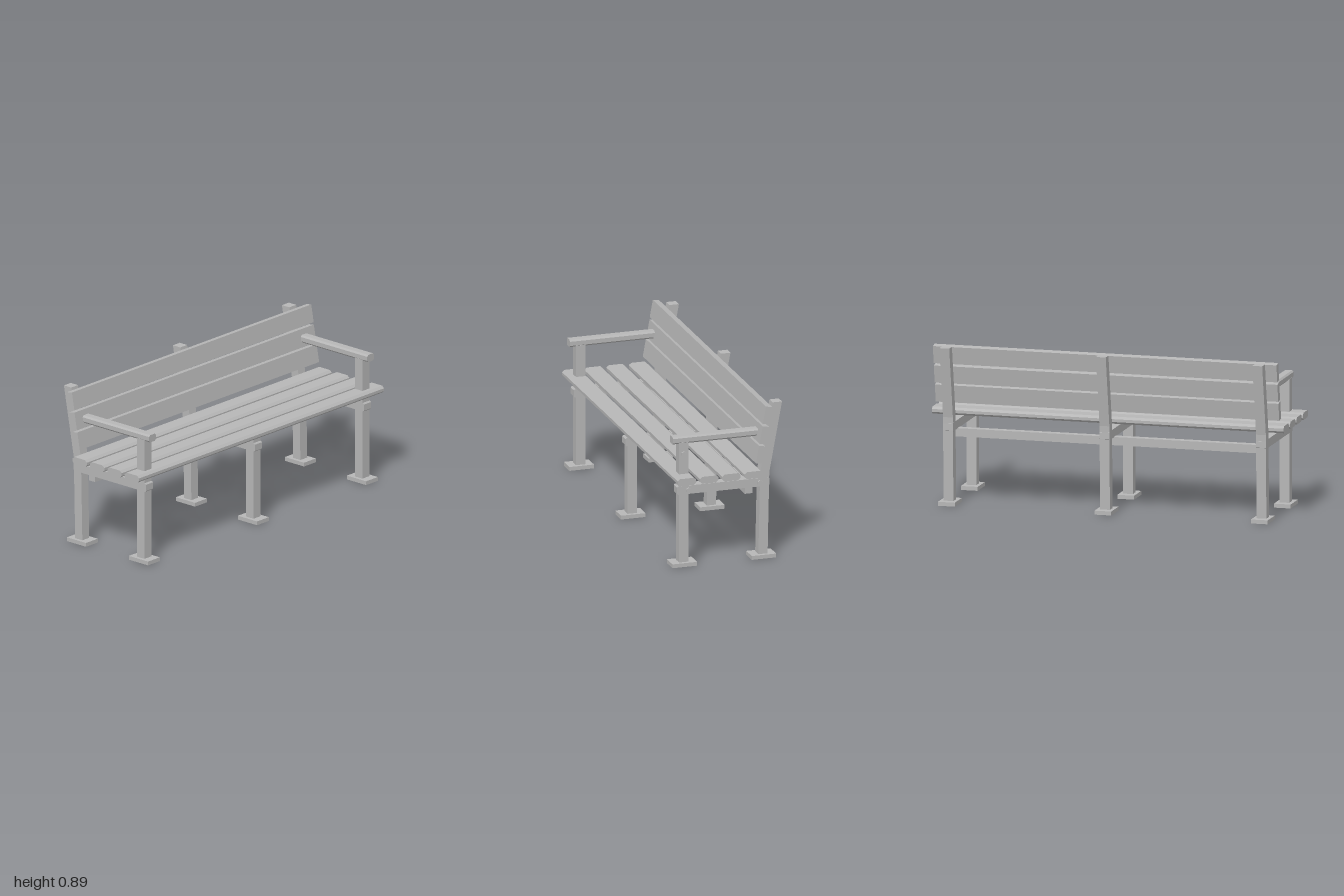
import * as THREE from 'three';

const grey = new THREE.MeshStandardMaterial({ color: 0xb6b6b6 });
grey.name = 'grey';

// Extrude a [z, y] side profile along x, centred on the given x
function sideProfile(name, points, width, x = 0) {
  const shape = new THREE.Shape(points.map(([z, y]) => new THREE.Vector2(z, y)));
  const geo = new THREE.ExtrudeGeometry(shape, { depth: width, bevelEnabled: false });
  geo.translate(0, 0, -width / 2).rotateY(-Math.PI / 2);
  const mesh = new THREE.Mesh(geo, grey);
  mesh.name = name;
  mesh.position.x = x;
  return mesh;
}

// Rectangle a0..a1 by b0..b1 with cut corners
function chamfered(a0, a1, b0, b1, ca, cb) {
  return [[a0 + ca, b0], [a1 - ca, b0], [a1, b0 + cb], [a1, b1 - cb],
    [a1 - ca, b1], [a0 + ca, b1], [a0, b1 - cb], [a0, b0 + cb]];
}

function box(name, x0, x1, y0, y1, z0, z1) {
  const mesh = new THREE.Mesh(new THREE.BoxGeometry(x1 - x0, y1 - y0, z1 - z0), grey);
  mesh.name = name;
  mesh.position.set((x0 + x1) / 2, (y0 + y1) / 2, (z0 + z1) / 2);
  return mesh;
}

// Hexagonal bolt head on the +x face
function bolt(x, y, z) {
  const geo = new THREE.CylinderGeometry(0.015, 0.015, 0.014, 6).toNonIndexed();
  geo.computeVertexNormals();
  geo.rotateZ(Math.PI / 2);
  geo.rotateX(Math.PI / 2);
  const mesh = new THREE.Mesh(geo, grey);
  mesh.name = 'bolt';
  mesh.position.set(x, y, z);
  return mesh;
}

export function createModel() {
  const bench = new THREE.Group();
  bench.name = 'bench';
  const W = 0.056;

  // Three support frames
  for (const x of [-0.89, 0, 0.89]) {
    const frame = new THREE.Group();
    frame.name = 'frame';
    frame.position.x = x;
    const postTop = x === 0 ? 0.492 : 0.71;
    frame.add(
      box('frontLeg', -W / 2, W / 2, 0.02, postTop, 0.221, 0.275),
      sideProfile('backLeg', [[-0.235, 0.02], [-0.182, 0.02], [-0.192, 0.49],
        [-0.264, 0.888], [-0.318, 0.888], [-0.245, 0.49]], W),
      sideProfile('seatBearer', chamfered(-0.245, 0.287, 0.412, 0.46, 0.006, 0.006), W + 0.001),
      box('frontFoot', -0.048, 0.048, 0, 0.022, 0.178, 0.32),
      box('backFoot', -0.048, 0.048, 0, 0.022, -0.278, -0.137),
    );
    bench.add(frame);
  }

  // Seat slats
  for (const z of [0.257, 0.129, 0.001, -0.128]) {
    bench.add(sideProfile('seatSlat',
      chamfered(z - 0.053, z + 0.053, 0.49, 0.53, 0.014, 0.012), 2));
  }

  // Leaning backrest slats
  for (const [z, y] of [[-0.215, 0.836], [-0.196, 0.724], [-0.175, 0.614]]) {
    const slat = box('backSlat', -0.977, 0.977, y - 0.05, y + 0.05, z - 0.0185, z + 0.0185);
    slat.rotation.x = -0.18;
    bench.add(slat);
  }

  // Long rail below the bearers
  bench.add(box('rail', -0.89, 0.89, 0.368, 0.414, -0.158, -0.113));

  // Armrests with chamfered long edges
  for (const x of [-0.89, 0.89]) {
    const points = chamfered(-0.028, 0.028, 0.703, 0.745, 0.009, 0.009);
    const shape = new THREE.Shape(points.map(([a, b]) => new THREE.Vector2(a, b)));
    const geo = new THREE.ExtrudeGeometry(shape, { depth: 0.5, bevelEnabled: false });
    const arm = new THREE.Mesh(geo, grey);
    arm.name = 'armrest';
    arm.position.set(x, 0, -0.19);
    bench.add(arm);
  }

  // Bolts on the outer left frame
  for (const [y, z] of [[0.645, 0.248], [0.434, 0.221], [0.434, -0.19]]) {
    bench.add(bolt(0.92, y, z));
  }
  return bench;
}
